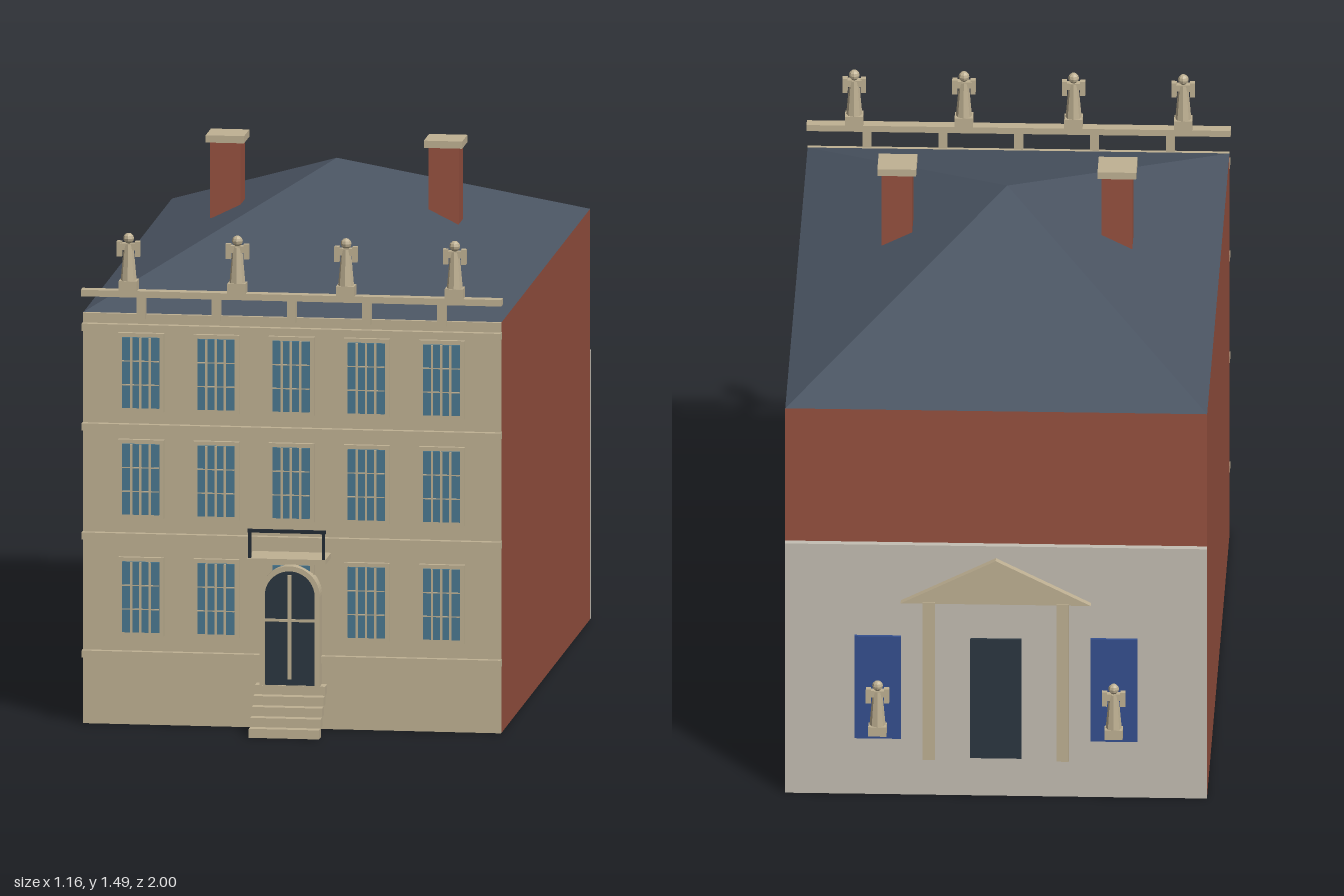
import * as THREE from 'three';

const mat = (color, side = THREE.FrontSide) => new THREE.MeshStandardMaterial({ color, side, flatShading: true });
const stone = mat(0xbfb193), brick = mat(0x96513f), slate = mat(0x4b5563), plaster = mat(0xc4beb3);
const glass = mat(0x4a7890), dark = mat(0x2b3640), iron = mat(0x222a33), blue = mat(0x35508f);

const FRONT = 0.838, BACK = -0.937, HALF = 0.577, EAVES = 1.14;

// Box given by its extents on each axis
function box(parent, name, m, x0, x1, y0, y1, z0, z1) {
  const mesh = new THREE.Mesh(new THREE.BoxGeometry(x1 - x0, y1 - y0, z1 - z0), m);
  mesh.position.set((x0 + x1) / 2, (y0 + y1) / 2, (z0 + z1) / 2);
  mesh.name = name;
  parent.add(mesh);
  return mesh;
}

function extrude(parent, name, m, shape, depth, z) {
  const geo = new THREE.ExtrudeGeometry(shape, { depth, bevelEnabled: false, curveSegments: 16 });
  const mesh = new THREE.Mesh(geo, m);
  mesh.position.z = z;
  mesh.name = name;
  parent.add(mesh);
}

// Upright outline with a round head
function archPath(path, r, bottom, spring) {
  path.moveTo(-r, bottom);
  path.lineTo(r, bottom);
  path.lineTo(r, spring);
  path.absarc(0, spring, r, 0, Math.PI, false);
  path.lineTo(-r, bottom);
  return path;
}

// Robed figure on a plinth, standing on its origin
function makeStatue() {
  const g = new THREE.Group();
  g.name = 'statue';
  box(g, 'plinth', stone, -0.025, 0.025, 0, 0.028, -0.022, 0.022);
  const robe = new THREE.Mesh(new THREE.CylinderGeometry(0.013, 0.022, 0.1, 8), stone);
  robe.position.y = 0.078;
  robe.name = 'robe';
  const head = new THREE.Mesh(new THREE.SphereGeometry(0.015, 8, 6), stone);
  head.position.y = 0.144;
  head.name = 'head';
  g.add(robe, head);
  box(g, 'shoulders', stone, -0.022, 0.022, 0.112, 0.131, -0.01, 0.01);
  for (const s of [-1, 1]) {
    box(g, 'arm', stone, s * 0.025 - 0.007, s * 0.025 + 0.007, 0.094, 0.136, -0.009, 0.009);
  }
  return g;
}

// Framed window with glazing bars
function makeWindow(x, y) {
  const g = new THREE.Group();
  g.name = 'window';
  g.position.set(x, y, FRONT);
  box(g, 'windowFrame', stone, -0.063, 0.063, -0.109, 0.109, 0, 0.014);
  box(g, 'windowGlass', glass, -0.051, 0.051, -0.098, 0.098, 0.012, 0.021);
  for (const i of [-1, 0, 1]) {
    box(g, 'verticalBar', stone, i * 0.0255 - 0.003, i * 0.0255 + 0.003, -0.098, 0.098, 0.02, 0.026);
  }
  for (const i of [-1, 1]) {
    box(g, 'crossBar', stone, -0.051, 0.051, i * 0.033 - 0.0015, i * 0.033 + 0.0015, 0.02, 0.024);
  }
  return g;
}

// Hipped roof rising to a single point
function makeRoof() {
  const geo = new THREE.ConeGeometry(Math.SQRT1_2, 1, 4, 1).toNonIndexed();
  geo.rotateY(Math.PI / 4);
  geo.scale(2 * HALF, 0.285, 0.825 - BACK);
  geo.computeVertexNormals();
  const roof = new THREE.Mesh(geo, slate);
  roof.position.set(0, EAVES + 0.1425, (0.825 + BACK) / 2);
  roof.name = 'roof';
  return roof;
}

function makeFront() {
  const g = new THREE.Group();
  g.name = 'frontFacade';
  box(g, 'frontWall', stone, -HALF, HALF, 0, EAVES, 0.825, FRONT);
  for (const y of [0.195, 0.523, 0.826, 1.103]) {
    box(g, 'stringCourse', stone, -HALF - 0.001, HALF + 0.001, y - 0.01, y + 0.01, 0.826, 0.857);
  }
  for (let i = -2; i <= 2; i++) {
    const x = i * 0.2075;
    for (const y of [0.357, 0.684, 0.98]) g.add(makeWindow(x, y));
    box(g, 'parapetPost', stone, x - 0.012, x + 0.012, 1.128, 1.19, 0.83, 0.855);
  }
  box(g, 'parapetRail', stone, -0.58, 0.58, 1.189, 1.207, 0.825, 0.858);
  for (const x of [-0.45, -0.15, 0.15, 0.45]) {
    const statue = makeStatue();
    statue.position.set(x, 1.207, 0.843);
    g.add(statue);
  }
  return g;
}

function makeEntrance() {
  const g = new THREE.Group();
  g.name = 'entrance';
  // Arched surround, door leaf and door bars
  const surround = archPath(new THREE.Shape(), 0.083, 0.126, 0.375);
  surround.holes.push(archPath(new THREE.Path(), 0.069, 0.127, 0.375));
  extrude(g, 'doorSurround', stone, surround, 0.047, FRONT);
  extrude(g, 'door', dark, archPath(new THREE.Shape(), 0.0695, 0.126, 0.375), 0.044, FRONT);
  box(g, 'doorUpright', stone, -0.005, 0.005, 0.145, 0.434, 0.88, 0.89);
  box(g, 'doorCrossBar', stone, -0.069, 0.069, 0.304, 0.311, 0.88, 0.888);
  // Open stair of overlapping treads
  for (let i = 0; i < 5; i++) {
    const z = 1 - i * 0.03;
    box(g, 'step', stone, -0.097, 0.097, i * 0.025, (i + 1) * 0.025, i === 4 ? FRONT : z - 0.04, z);
  }
  // Balcony with iron rail
  box(g, 'balconySlab', stone, -0.108, 0.108, 0.476, 0.49, FRONT, 0.953);
  box(g, 'balconyRail', iron, -0.108, 0.108, 0.561, 0.57, 0.94, 0.949);
  for (const s of [-1, 1]) {
    box(g, 'balconyPost', iron, s * 0.102 - 0.004, s * 0.102 + 0.004, 0.488, 0.565, 0.941, 0.948);
  }
  return g;
}

function makeBack() {
  const g = new THREE.Group();
  g.name = 'gardenFront';
  box(g, 'backWall', plaster, -HALF, HALF, 0, 0.745, -0.957, BACK);
  box(g, 'backDoor', dark, -0.07, 0.07, 0.115, 0.47, -0.966, -0.955);
  // Pediment on two square posts
  const gable = new THREE.Shape([[-0.26, 0.58], [0.26, 0.58], [0, 0.71]].map(p => new THREE.Vector2(...p)));
  extrude(g, 'pediment', stone, gable, 0.022, -0.978);
  for (const s of [-1, 1]) {
    box(g, 'porticoPost', stone, s * 0.183 - 0.017, s * 0.183 + 0.017, 0.115, 0.585, -0.982, -0.955);
    // Blue niche holding a figure
    box(g, 'niche', blue, s * 0.323 - 0.064, s * 0.323 + 0.064, 0.17, 0.475, -0.967, -0.955);
    const statue = makeStatue();
    statue.position.set(s * 0.323, 0.19, -0.98);
    statue.scale.z = 0.9;
    g.add(statue);
  }
  return g;
}

export function createModel() {
  const model = new THREE.Group();
  model.name = 'townHouse';
  box(model, 'brickBody', brick, -HALF, HALF, 0, EAVES, BACK, 0.825);
  model.add(makeRoof(), makeFront(), makeEntrance(), makeBack());
  for (const s of [-1, 1]) {
    const x = s * 0.301;
    box(model, 'chimney', brick, x - 0.042, x + 0.042, 1.257, 1.47, -0.092, -0.008);
    box(model, 'chimneyCap', stone, x - 0.053, x + 0.053, 1.469, 1.489, -0.103, 0.003);
  }
  return model;
}
